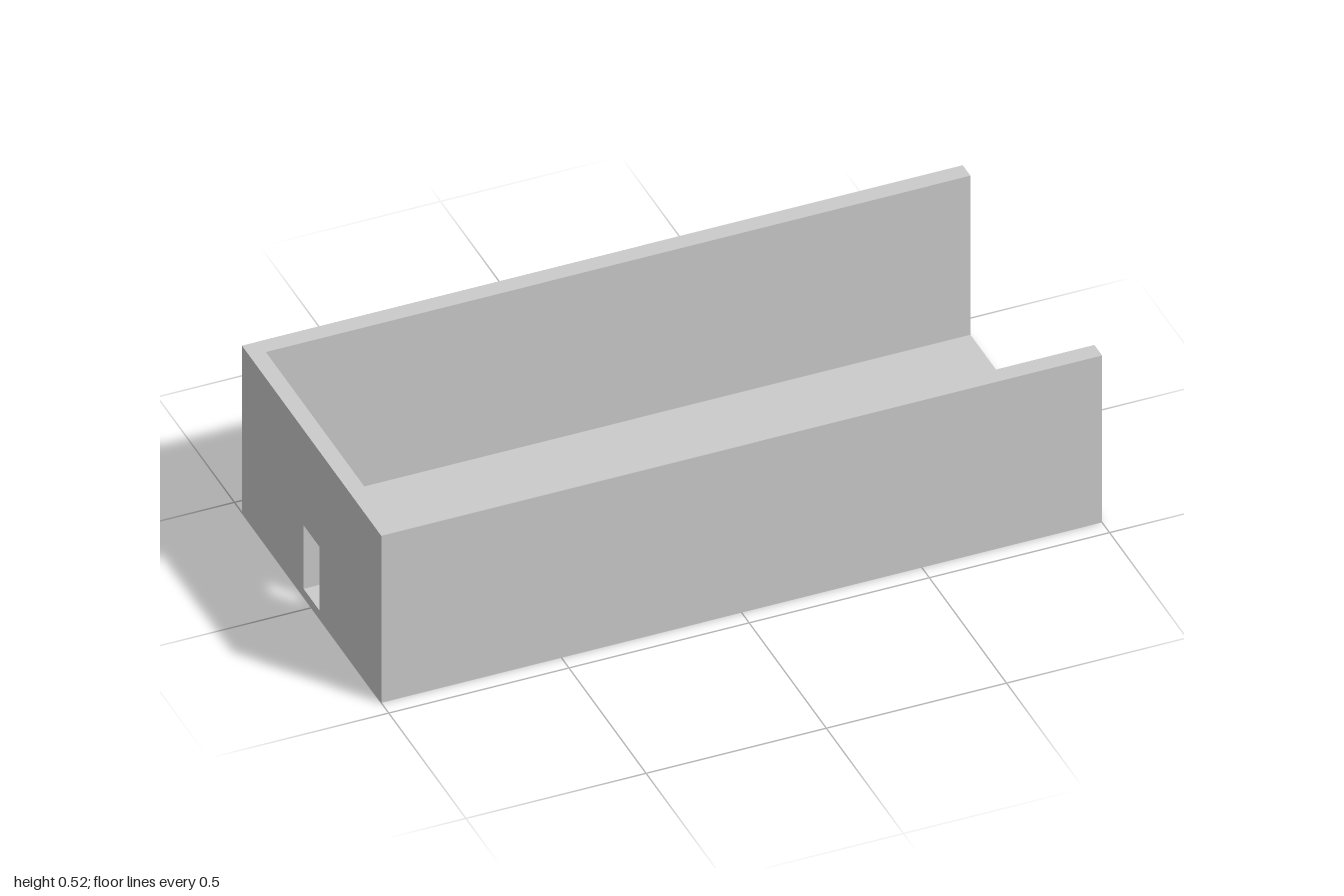
import * as THREE from 'three';

const LENGTH = 2, DEPTH = 0.903, HEIGHT = 0.525;
const FLOOR = 0.025, SIDE = 0.05, END = 0.045;
const DOOR_WIDTH = 0.104, DOOR_HEIGHT = 0.2;

export function createModel() {
  const group = new THREE.Group();
  const material = new THREE.MeshStandardMaterial({ color: 0xcccccc });
  const add = (name, geometry, x, y, z) => {
    const mesh = new THREE.Mesh(geometry, material);
    mesh.name = name;
    mesh.position.set(x, y, z);
    group.add(mesh);
    return mesh;
  };
  const wallHeight = HEIGHT - FLOOR;

  // Floor slab
  add('floor', new THREE.BoxGeometry(LENGTH, FLOOR, DEPTH), 0, FLOOR / 2, 0);

  // Long walls, front and back
  for (const [name, s] of [['frontWall', 1], ['backWall', -1]]) {
    add(name, new THREE.BoxGeometry(LENGTH, wallHeight, SIDE),
      0, FLOOR + wallHeight / 2, s * (DEPTH - SIDE) / 2);
  }

  // End wall with a doorway reaching down to the floor; the other end is open
  const w = DEPTH / 2 - SIDE, d = DOOR_WIDTH / 2;
  const outline = new THREE.Shape([
    [-w, 0], [-d, 0], [-d, DOOR_HEIGHT], [d, DOOR_HEIGHT],
    [d, 0], [w, 0], [w, wallHeight], [-w, wallHeight],
  ].map(([x, y]) => new THREE.Vector2(x, y)));
  const endGeometry = new THREE.ExtrudeGeometry(outline, { depth: END, bevelEnabled: false });
  add('endWall', endGeometry, -LENGTH / 2, FLOOR, 0).rotation.y = Math.PI / 2;

  return group;
}
